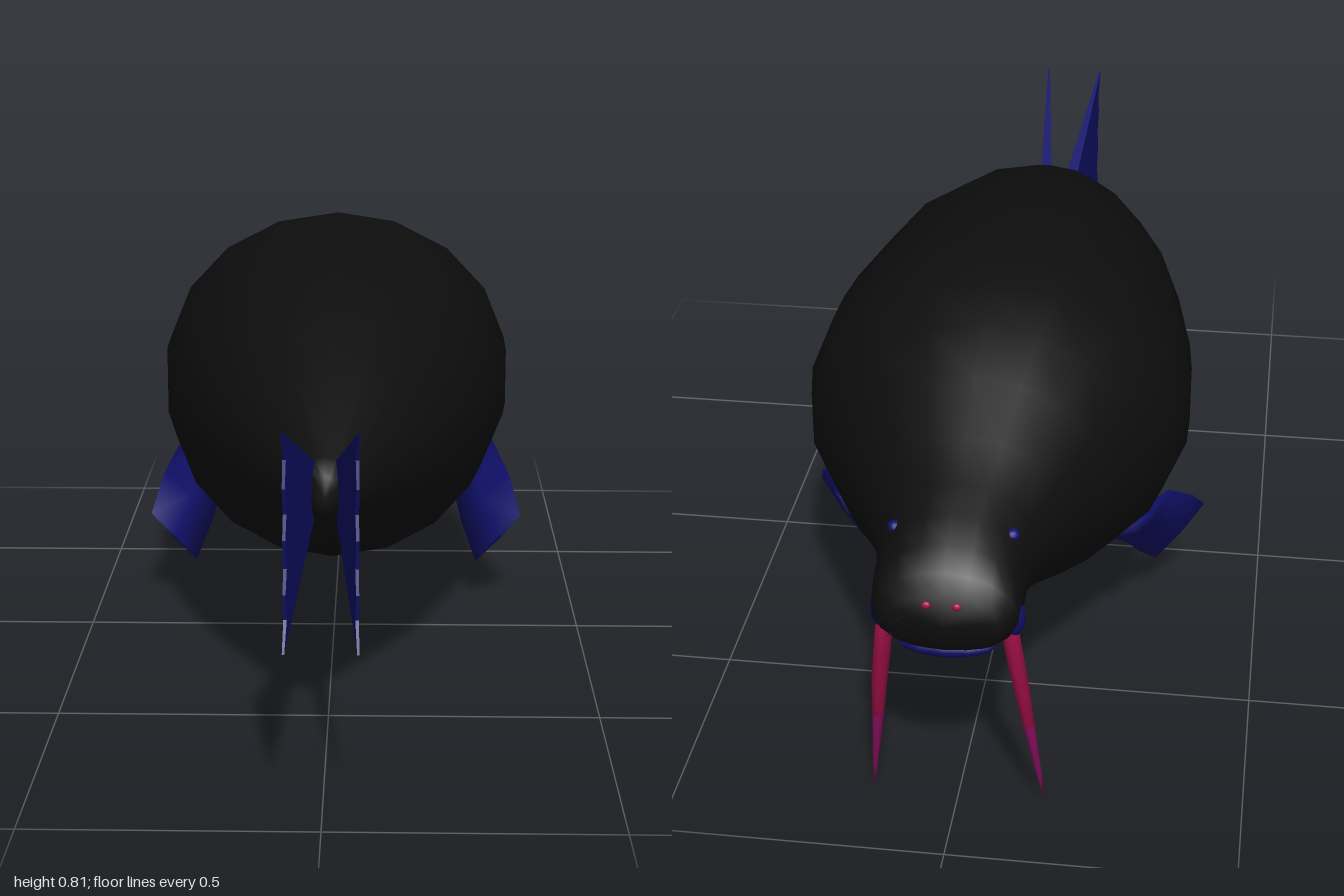
import * as THREE from 'three';
import { mergeVertices } from 'three/addons/utils/BufferGeometryUtils.js';

const mat = (name, color, side = THREE.FrontSide) => {
  const m = new THREE.MeshStandardMaterial({ color, side });
  m.name = name;
  return m;
};

// Skin joining rings of points, closed by a point at each end
function loft(rings, startTip, endTip) {
  const n = rings[0].length, pos = [], idx = [];
  rings.forEach(r => r.forEach(p => pos.push(...p)));
  for (let i = 0; i < rings.length - 1; i++) {
    for (let j = 0; j < n; j++) {
      const a = i * n + j, b = i * n + (j + 1) % n;
      idx.push(a, b, a + n, b, b + n, a + n);
    }
  }
  const s = rings.length * n, e = s + 1, last = s - n;
  pos.push(...startTip, ...endTip);
  for (let j = 0; j < n; j++) {
    const k = (j + 1) % n;
    idx.push(s, k, j, e, last + j, last + k);
  }
  const g = new THREE.BufferGeometry();
  g.setAttribute('position', new THREE.Float32BufferAttribute(pos, 3));
  g.setIndex(idx);
  g.computeVertexNormals();
  return g;
}

// Body stations from tail to snout: z, top, bottom, half width
const STATIONS = [
  [0.735, 0.525, 0.455, 0.025], [0.70, 0.55, 0.43, 0.055], [0.5, 0.64, 0.345, 0.165],
  [0.3, 0.725, 0.245, 0.25], [0.1, 0.785, 0.18, 0.315], [-0.1, 0.806, 0.158, 0.35],
  [-0.2, 0.81, 0.154, 0.36], [-0.3, 0.81, 0.17, 0.36], [-0.4, 0.795, 0.19, 0.34],
  [-0.5, 0.762, 0.225, 0.292], [-0.6, 0.717, 0.272, 0.24], [-0.7, 0.657, 0.327, 0.185],
  [-0.8, 0.617, 0.368, 0.142], [-0.86, 0.595, 0.373, 0.128], [-0.91, 0.57, 0.375, 0.126],
  [-0.95, 0.542, 0.387, 0.122], [-0.972, 0.51, 0.41, 0.095],
];

function bodyGeometry() {
  const rings = STATIONS.map(([z, top, bottom, w]) => Array.from({ length: 18 }, (_, j) => {
    const a = j / 18 * Math.PI * 2;
    return [Math.sin(a) * w, (top + bottom) / 2 + Math.cos(a) * (top - bottom) / 2, z];
  }));
  return loft(rings, [0, 0.49, 0.75], [0, 0.46, -0.985]);
}

// Curved tapering tusk; the path is given from root to tip
function tuskGeometry(path, radii, tip) {
  const rings = path.map(([x, y, z], i) => Array.from({ length: 8 }, (_, j) => {
    const a = j / 8 * Math.PI * 2;
    return [x + Math.cos(a) * radii[i] * 0.75, y, z + Math.sin(a) * radii[i]];
  }));
  return loft(rings, path[0], tip);
}

// Flipper: pairs of outer and inner edge points with a thin lens section
function flipperGeometry() {
  const edges = [
    [[0.30, 0.335, -0.40], [0.225, 0.275, -0.40]],
    [[0.325, 0.335, -0.31], [0.245, 0.23, -0.335]],
    [[0.367, 0.265, -0.21], [0.268, 0.15, -0.245]],
    [[0.388, 0.198, -0.13], [0.297, 0.085, -0.165]],
  ];
  const n = new THREE.Vector3(0.026, -0.016, -0.02).normalize();
  const rings = edges.map(([o, i], k) => {
    const t = [0.02, 0.018, 0.013, 0.004][k];
    const mid = s => o.map((v, c) => (v + i[c]) / 2 + n.getComponent(c) * t * s);
    return [o, mid(-1), i, mid(1)];
  });
  const middle = k => edges[k][0].map((v, c) => (v + edges[k][1][c]) / 2);
  return loft(rings, middle(0), middle(3));
}

// Upright tail blade with a ragged rear edge, splayed outwards
function flukeGeometry() {
  const outline = [
    [0.67, 0.46], [1, 0.305], [0.975, 0.355], [0.985, 0.4], [0.972, 0.44],
    [0.984, 0.49], [0.972, 0.53], [0.986, 0.575], [0.975, 0.62], [1, 0.67], [0.67, 0.53],
  ];
  const shape = new THREE.Shape(outline.map(p => new THREE.Vector2(...p)));
  const g = new THREE.ExtrudeGeometry(shape, { depth: 1, bevelEnabled: false });
  const p = g.attributes.position;
  for (let i = 0; i < p.count; i++) {
    const z = p.getX(i), k = (z - 0.67) / 0.33;
    p.setXYZ(i, 0.04 + 0.022 * k - p.getZ(i) * (0.026 - 0.022 * k), p.getY(i), z);
  }
  g.computeVertexNormals();
  return g;
}

export function createModel() {
  const hide = mat('blackHide', 0x0d0d0d);
  const blue = mat('deepBlue', 0x10106a, THREE.DoubleSide);
  const crimson = mat('crimson', 0xa01048);
  const purple = mat('magentaPurple', 0x8c1060);

  const model = new THREE.Group();
  model.name = 'walrus';
  const add = (parent, name, geo, material, pos, scale) => {
    const m = new THREE.Mesh(geo, material);
    m.name = name;
    if (pos) m.position.set(...pos);
    if (scale) m.scale.set(...scale);
    parent.add(m);
    return m;
  };

  add(model, 'body', bodyGeometry(), hide);

  const ball = mergeVertices(new THREE.SphereGeometry(1, 12, 8));
  const flipper = flipperGeometry();
  const fluke = flukeGeometry();
  const upperTusk = tuskGeometry(
    [[0.104, 0.43, -0.925], [0.112, 0.36, -0.915], [0.122, 0.28, -0.9], [0.13, 0.2, -0.881]],
    [0.02, 0.02, 0.018, 0.014], [0.13, 0.2, -0.881]);
  const lowerTusk = tuskGeometry(
    [[0.13, 0.2, -0.881], [0.139, 0.12, -0.861], [0.146, 0.06, -0.847]],
    [0.014, 0.0095, 0.006], [0.151, 0, -0.832]);

  // Mouth under the snout
  add(model, 'mouth', ball, blue, [0, 0.395, -0.93], [0.085, 0.022, 0.035]);

  for (const side of [1, -1]) {
    const half = new THREE.Group();
    half.name = side > 0 ? 'leftSide' : 'rightSide';
    half.scale.x = side;
    model.add(half);

    add(half, 'flipper', flipper, blue);
    add(half, 'tailFluke', fluke, blue);
    add(half, 'tuskRoot', upperTusk, crimson);
    add(half, 'tuskTip', lowerTusk, purple);
    add(half, 'tuskSocket', ball, blue, [0.105, 0.445, -0.918], [0.025, 0.037, 0.03]);
    add(half, 'eye', ball, blue, [0.098, 0.555, -0.842], [0.013, 0.011, 0.013]);
    add(half, 'nostril', ball, crimson, [0.025, 0.495, -0.975], [0.008, 0.007, 0.005]);

    // Short whiskers on the muzzle
    for (const [x, y, z] of [[0.065, 0.47, -0.978], [0.1, 0.455, -0.965], [0.085, 0.43, -0.968]]) {
      const w = add(half, 'whisker', new THREE.ConeGeometry(0.002, 0.035, 5), hide, [x, y, z]);
      w.quaternion.setFromUnitVectors(new THREE.Vector3(0, 1, 0),
        new THREE.Vector3(0.5, 0, -0.85).normalize());
    }
  }
  return model;
}
